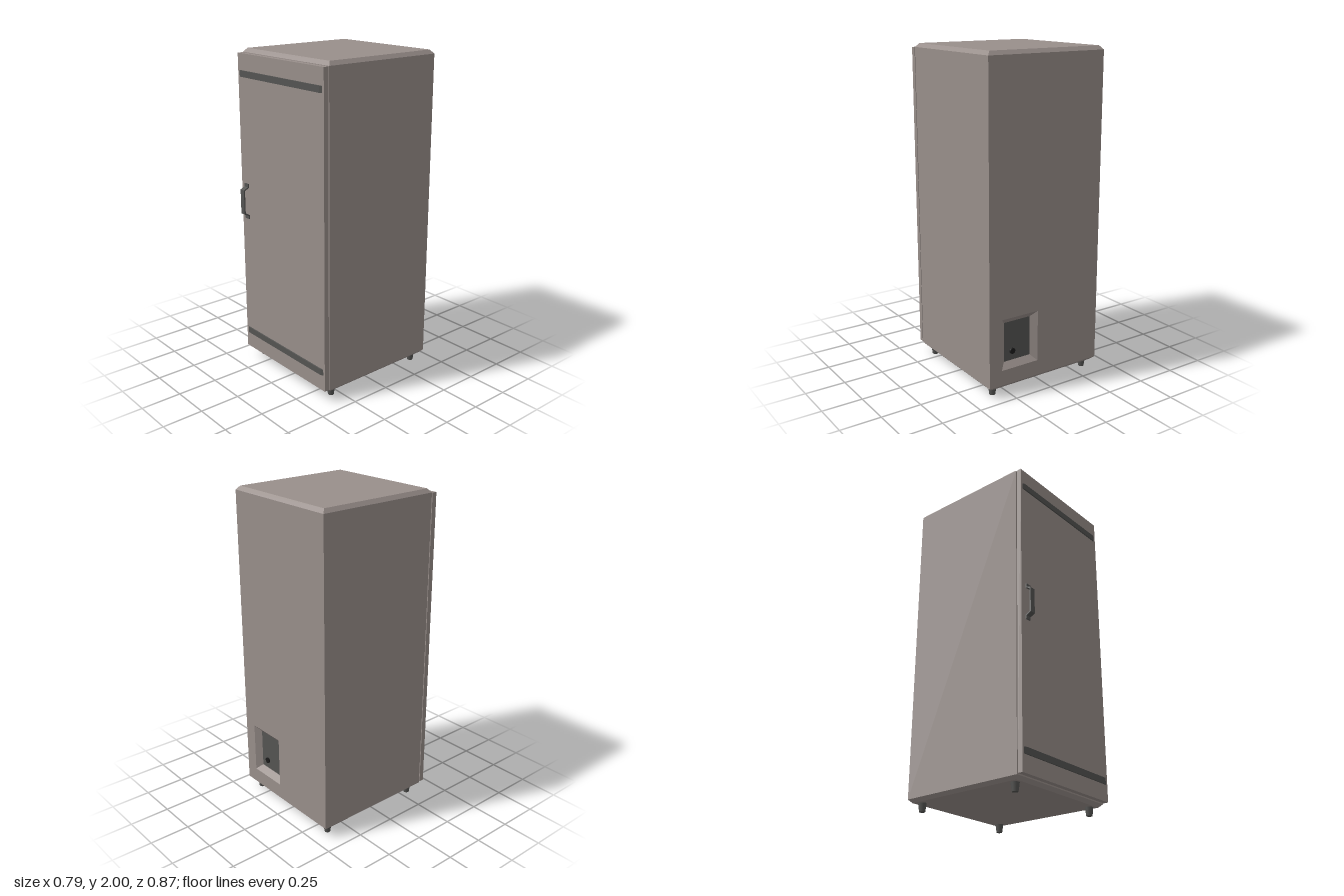
import * as THREE from 'three';

const shell = new THREE.MeshStandardMaterial({ color: 0x998f8b });
const dark = new THREE.MeshStandardMaterial({ color: 0x555553 });
const black = new THREE.MeshStandardMaterial({ color: 0x1c1c1c });

// Joins four-cornered loops into flat walls; skip(band, side) leaves a wall open
function loft(loops, { capStart = false, capEnd = false, skip = () => false } = {}) {
  const pos = [];
  const quad = (a, b, c, d) => pos.push(...a, ...b, ...c, ...a, ...c, ...d);
  for (let k = 0; k < loops.length - 1; k++) {
    for (let i = 0; i < 4; i++) {
      const j = (i + 1) % 4;
      if (!skip(k, i)) quad(loops[k][i], loops[k][j], loops[k + 1][j], loops[k + 1][i]);
    }
  }
  if (capStart) quad(...[...loops[0]].reverse());
  if (capEnd) quad(...loops[loops.length - 1]);
  const g = new THREE.BufferGeometry();
  g.setAttribute('position', new THREE.Float32BufferAttribute(pos, 3));
  g.computeVertexNormals();
  return g;
}

function extrude(points, depth) {
  const shape = new THREE.Shape(points.map(([x, y]) => new THREE.Vector2(x, y)));
  return new THREE.ExtrudeGeometry(shape, { depth, bevelEnabled: false });
}

export function createModel() {
  const model = new THREE.Group();
  const add = (name, geometry, material, x = 0, y = 0, z = 0) => {
    const mesh = new THREE.Mesh(geometry, material);
    mesh.name = name;
    mesh.position.set(x, y, z);
    model.add(mesh);
    return mesh;
  };

  const W = 0.395, ZF = 0.36, ZB = -0.435, Y0 = 0.07, Y1 = 1.977;

  // Cabinet with chamfered top and bottom rims, rear wall left open
  const level = (y, inset) => [
    [-W + inset, y, ZF - inset], [W - inset, y, ZF - inset],
    [W - inset, y, ZB + inset], [-W + inset, y, ZB + inset],
  ];
  add('cabinet', loft([level(0.05, 0.02), level(Y0, 0), level(Y1, 0), level(2, 0.02)], {
    capStart: true, capEnd: true, skip: (band, side) => band === 1 && side === 2,
  }), shell);

  // Rear wall with a tapered recess
  const rear = (x0, x1, y0, y1, z) => [[x1, y0, z], [x0, y0, z], [x0, y1, z], [x1, y1, z]];
  const recessZ = ZB + 0.032;
  const floor = rear(0.09, 0.275, 0.2, 0.445, recessZ);
  add('rearWall', loft([
    rear(-W, W, Y0, Y1, ZB), rear(0.054, 0.311, 0.164, 0.481, ZB), floor,
  ]), shell);
  add('recessPanel', loft([floor], { capEnd: true }), dark);
  const socket = new THREE.CylinderGeometry(0.018, 0.018, 0.01, 16).rotateX(Math.PI / 2);
  add('powerSocket', socket, black, 0.217, 0.257, recessZ - 0.004);

  // Door and its seal
  add('doorSeal', new THREE.BoxGeometry(0.77, 1.88, 0.01), dark, 0, 1.025, 0.363);
  add('door', new THREE.BoxGeometry(2 * W, 1.9, 0.031), shell, 0, 1.025, 0.3815);

  // Trim strips with slanted ends
  for (const [name, y] of [['upperTrim', 1.857], ['lowerTrim', 0.195]]) {
    const strip = extrude([[-0.383, 0.396], [0.383, 0.396], [0.365, 0.405], [-0.365, 0.405]], 0.038);
    add(name, strip.rotateX(Math.PI / 2), dark, 0, y + 0.019, 0);
  }

  // Bent strap handle: half profile (z, height from the middle), mirrored
  const outer = [[0.396, 0.112], [0.405, 0.112], [0.405, 0.092], [0.435, 0.077]];
  const inner = [[0.427, 0.073], [0.396, 0.088]];
  const mirror = (pts) => pts.map(([z, y]) => [z, -y]).reverse();
  const profile = [...outer, ...mirror(outer), ...mirror(inner), ...inner];
  add('handle', extrude(profile, 0.036).rotateY(-Math.PI / 2), dark, -0.324, 1.077, 0);

  // Tapered feet
  for (const x of [-0.338, 0.338]) {
    for (const z of [-0.374, 0.302]) {
      const foot = new THREE.CylinderGeometry(0.025, 0.018, 0.052, 12);
      add('foot', foot, dark, x, 0.026, z);
    }
  }
  return model;
}
